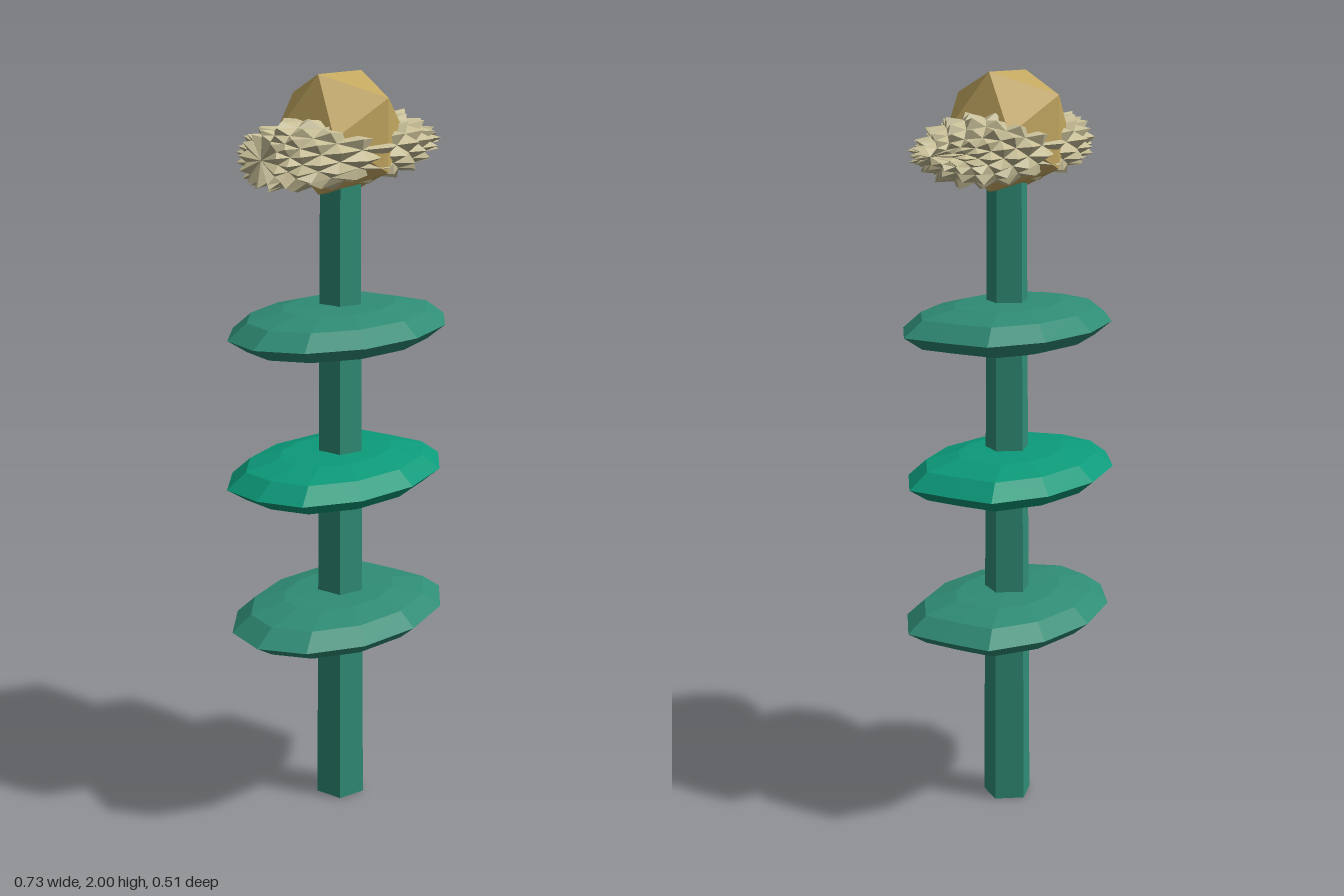
import * as THREE from 'three';

const mat = (color) => new THREE.MeshStandardMaterial({ color, flatShading: true });
const GREEN = mat(0x2f8c75), BRIGHT = mat(0x0c9a7a), STRAW = mat(0xc6bd96), GOLD = mat(0xc4a861);

// Faceted closed skin over a stack of equal rings, ending in a point at both ends
function loft(rings, start, end) {
  const pos = [];
  const tri = (a, b, c) => pos.push(...a, ...b, ...c);
  const n = rings[0].length;
  const last = rings[rings.length - 1];
  for (let j = 0; j < n; j++) {
    const k = (j + 1) % n;
    tri(start, rings[0][j], rings[0][k]);
    tri(last[j], end, last[k]);
    for (let i = 0; i < rings.length - 1; i++) {
      const a = rings[i], b = rings[i + 1];
      // alternate the diagonal for a zigzag of facets
      if ((i + j) % 2) {
        tri(a[j], b[j], a[k]);
        tri(b[j], b[k], a[k]);
      } else {
        tri(a[j], b[j], b[k]);
        tri(a[j], b[k], a[k]);
      }
    }
  }
  const g = new THREE.BufferGeometry();
  g.setAttribute('position', new THREE.Float32BufferAttribute(pos, 3));
  g.computeVertexNormals();
  return g;
}

function add(parent, name, geometry, material, x, y, z) {
  const mesh = new THREE.Mesh(geometry, material);
  mesh.name = name;
  mesh.position.set(x, y, z);
  parent.add(mesh);
  return mesh;
}

// Flat oval leaf, cut short at the given x limits
function leafGeometry(minX, maxX) {
  const levels = [[-0.057, 0.52], [-0.036, 0.83], [0, 1], [0.04, 0.83], [0.06, 0.52]];
  const rings = levels.map(([y, s]) => Array.from({ length: 12 }, (_, j) => {
    const a = j * Math.PI / 6;
    const x = THREE.MathUtils.clamp(0.362 * Math.cos(a), minX, maxX);
    return [x * s, y, 0.248 * Math.sin(a) * s];
  }));
  return loft(rings, [0, -0.063, 0], [0, 0.066, 0]);
}

// Shaggy bloom: oval sections along x, with alternate corners pulled out into spikes
function bloomGeometry() {
  const sections = [ // x, half height, half depth
    [-0.32, 0.062, 0.055], [-0.27, 0.076, 0.095], [-0.16, 0.088, 0.132], [0, 0.092, 0.158],
    [0.12, 0.092, 0.147], [0.21, 0.085, 0.125], [0.29, 0.05, 0.098], [0.34, 0.02, 0.055],
  ];
  const sides = 22, steps = 2, rings = [];
  for (let i = 0; i <= (sections.length - 1) * steps; i++) {
    const s = Math.min(Math.floor(i / steps), sections.length - 2);
    const t = i / steps - s;
    const [x, h, d] = sections[s].map((v, k) => THREE.MathUtils.lerp(v, sections[s + 1][k], t));
    rings.push(Array.from({ length: sides }, (_, j) => {
      const a = j / sides * Math.PI * 2;
      const spike = (i + j) % 2;
      const r = spike ? 1.06 : 0.9;
      const pull = spike ? Math.sign(x) * 0.028 * Math.min(1, Math.abs(x) / 0.2) : 0;
      return [THREE.MathUtils.clamp(x + pull, -0.34, 0.365), h * r * Math.cos(a), -d * r * Math.sin(a)];
    }));
  }
  return loft(rings, [-0.325, 0, 0], [0.37, 0, 0]);
}

export function createModel() {
  const model = new THREE.Group();
  model.name = 'stackedPlant';

  // Five-sided tapering stem with one edge toward +x
  const stem = new THREE.CylinderGeometry(0.055, 0.068, 1.76, 5);
  stem.rotateY(Math.PI / 2);
  add(model, 'stem', stem, GREEN, 0, 0.88, 0.008);

  // Three flat leaves threaded on the stem
  const pointed = leafGeometry(-0.37, 0.318), blunt = leafGeometry(-0.343, 0.318);
  add(model, 'lowerLeaf', pointed, GREEN, 0, 0.545, 0.005);
  add(model, 'middleLeaf', blunt, BRIGHT, 0, 0.942, -0.005);
  add(model, 'upperLeaf', pointed, GREEN, 0, 1.342, 0.005);

  // Flower head
  const flower = new THREE.Group();
  flower.name = 'flower';
  model.add(flower);
  add(flower, 'shaggyPetals', bloomGeometry(), STRAW, 0, 1.808, 0.007);
  add(flower, 'flowerCore', new THREE.IcosahedronGeometry(0.177, 0), GOLD, 0, 1.85, 0.007);
  return model;
}
